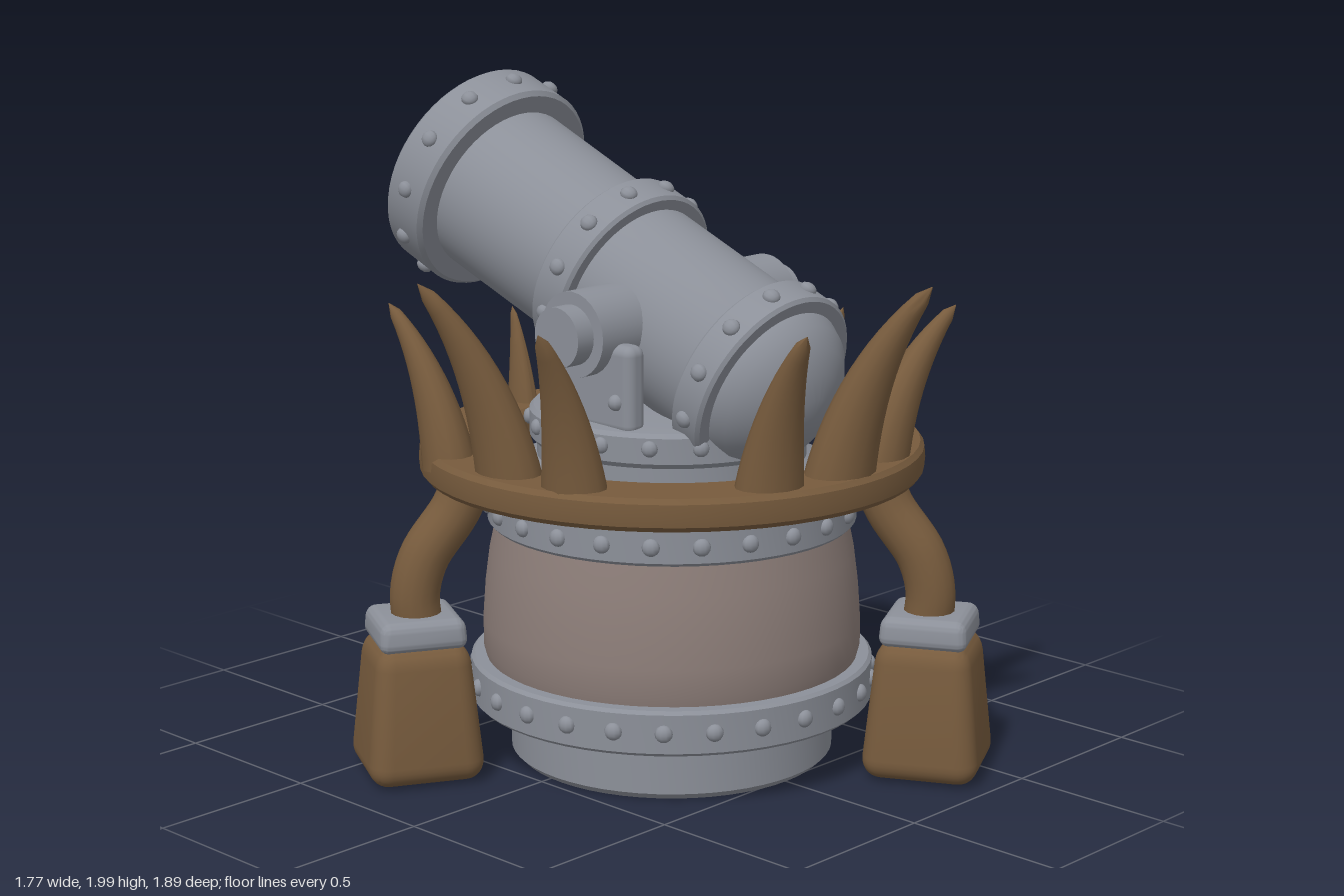
import * as THREE from 'three';
import { mergeGeometries, toCreasedNormals } from 'three/addons/utils/BufferGeometryUtils.js';
import { RoundedBoxGeometry } from 'three/addons/geometries/RoundedBoxGeometry.js';

const material = (name, color) => {
  const m = new THREE.MeshStandardMaterial({ color });
  m.name = name;
  return m;
};

export function createModel() {
  const iron = material('iron grey', 0x8c9099);
  const wood = material('horn brown', 0x775b3d);
  const stave = material('barrel brown', 0x8d7e79);

  const model = new THREE.Group();
  model.name = 'cannonTower';
  const CZ = 0.05; // the tower axis sits slightly forward of centre

  const add = (parent, name, geometry, mat, x = 0, y = 0, z = 0) => {
    const mesh = new THREE.Mesh(geometry, mat);
    mesh.name = name;
    mesh.position.set(x, y, z);
    parent.add(mesh);
    return mesh;
  };

  // Turned part from [radius, height] points, listed upwards on the outside
  const turned = (parent, name, points, mat) => {
    const profile = points.map(([r, y]) => new THREE.Vector2(r, y));
    return add(parent, name, toCreasedNormals(new THREE.LatheGeometry(profile, 56), 0.55), mat);
  };

  // Closed hoop with small bevels
  const hoop = (parent, name, inner, outer, y0, y1, mat, b = 0.01) => turned(parent, name, [
    [inner, y0], [outer - b, y0], [outer, y0 + b], [outer, y1 - b], [outer - b, y1], [inner, y1], [inner, y0],
  ], mat);

  // Circle of domed rivets
  const rivets = (parent, name, radius, y, count, offset = 0.5, size = 0.026) => {
    const parts = [];
    for (let i = 0; i < count; i++) {
      const a = (i + offset) / count * Math.PI * 2;
      const g = new THREE.SphereGeometry(size, 10, 8);
      g.scale(1, 1, 0.75);
      g.rotateY(a);
      g.translate(Math.sin(a) * radius, y, Math.cos(a) * radius);
      parts.push(g);
    }
    add(parent, name, mergeGeometries(parts), iron);
  };

  // --- Tower body ---
  const tower = new THREE.Group();
  tower.name = 'tower';
  tower.position.z = CZ;
  model.add(tower);
  turned(tower, 'base', [[0, 0], [0.465, 0], [0.485, 0.02], [0.485, 0.19]], iron);
  turned(tower, 'barrelStaves', [
    [0.55, 0.28], [0.566, 0.34], [0.566, 0.42], [0.558, 0.53], [0.545, 0.63], [0.522, 0.74],
  ], stave);
  hoop(tower, 'lowerBand', 0.4, 0.603, 0.175, 0.31, iron);
  rivets(tower, 'lowerBandRivets', 0.603, 0.245, 26);
  hoop(tower, 'upperBand', 0.4, 0.55, 0.72, 0.835, iron);
  rivets(tower, 'upperBandRivets', 0.55, 0.777, 24);
  turned(tower, 'towerTop', [
    [0.525, 0.82], [0.51, 0.86], [0.49, 0.88], [0.43, 0.9], [0.4, 0.92], [0.4, 0.99],
  ], iron);
  turned(tower, 'turntable', [
    [0, 0.97], [0.41, 0.97], [0.422, 0.985], [0.422, 1.06], [0.41, 1.072], [0.35, 1.08], [0, 1.085],
  ], iron);
  rivets(tower, 'turntableRivets', 0.422, 1.03, 18, 0.25, 0.024);
  turned(tower, 'collarRing', [
    [0.565, 0.875], [0.735, 0.875], [0.747, 0.89], [0.75, 0.922], [0.747, 0.955], [0.735, 0.97],
    [0.565, 0.97], [0.55, 0.955], [0.55, 0.89], [0.565, 0.875],
  ], wood);

  // --- Cannon, local +y runs along the bore towards the muzzle face at y = 0 ---
  const cannon = new THREE.Group();
  cannon.name = 'cannon';
  cannon.position.set(0, 1.685, -0.815);
  cannon.rotation.x = -1.186;
  model.add(cannon);
  turned(cannon, 'cannonBarrel', [
    [0, -1.53], [0.06, -1.524], [0.13, -1.5], [0.19, -1.463], [0.235, -1.415], [0.258, -1.36],
    [0.26, -0.7], [0.268, -0.1],
  ], iron);
  turned(cannon, 'muzzle', [
    [0.25, -0.165], [0.322, -0.165], [0.335, -0.152], [0.335, -0.012], [0.325, 0],
    [0.212, 0], [0.205, -0.012], [0.205, -0.38], [0, -0.38],
  ], iron);
  rivets(cannon, 'muzzleRivets', 0.335, -0.08, 12, 0);
  hoop(cannon, 'middleBand', 0.24, 0.302, -0.77, -0.645, iron);
  rivets(cannon, 'middleBandRivets', 0.302, -0.707, 12);
  hoop(cannon, 'breechBand', 0.24, 0.3, -1.37, -1.255, iron);
  rivets(cannon, 'breechBandRivets', 0.3, -1.312, 12);

  // --- Trunnions and their brackets ---
  for (const s of [-1, 1]) {
    const side = s > 0 ? 'left' : 'right';
    const drum = (name, r, x0, x1) => {
      const mesh = add(model, side + name, new THREE.CylinderGeometry(r, r, x1 - x0, 28), iron, s * (x0 + x1) / 2, 1.335, CZ);
      mesh.rotation.z = Math.PI / 2;
    };
    drum('TrunnionDrum', 0.125, 0.2, 0.412);
    drum('TrunnionPin', 0.088, 0.4, 0.474);
    add(model, side + 'Bracket', new RoundedBoxGeometry(0.075, 0.26, 0.36, 3, 0.03), iron, s * 0.33, 1.185, 0.054);
    for (const z of [0.18, -0.065]) {
      add(model, side + 'BracketRivet', new THREE.SphereGeometry(0.024, 10, 8), iron, s * 0.366, 1.15, z);
    }
  }

  // --- Curved horns on the collar: base x, z, tip x, y, z, half width ---
  const horns = [
    [-0.60, -0.27, -0.65, 1.39, -0.465, 0.1],
    [-0.63, 0.02, -0.86, 1.525, -0.10, 0.11],
    [-0.62, 0.27, -0.795, 1.43, 0.31, 0.1],
    [-0.24, 0.65, -0.29, 1.425, 0.83, 0.105],
    [0.01, 0.69, 0.13, 1.515, 0.92, 0.118],
    [0.24, 0.65, 0.49, 1.385, 0.72, 0.105],
    [0.63, 0.1, 0.71, 1.26, 0.105, 0.07],
    [0.47, -0.42, 0.475, 1.245, -0.43, 0.06],
    [0, -0.59, 0.01, 1.26, -0.645, 0.06],
  ];
  horns.forEach(([bx, bz, tx, ty, tz, r], i) => {
    const base = new THREE.Vector3(bx, 0.93, bz);
    const tip = new THREE.Vector3(tx, ty, tz);
    const bend = base.clone().lerp(tip, 0.22).setY(0.93 + (ty - 0.93) * 0.6);
    const curve = new THREE.QuadraticBezierCurve3(base, bend, tip);
    const steps = 14, sides = 14;
    const g = new THREE.TubeGeometry(curve, steps, r, sides);
    // Taper to a blunt point and flatten: big horns front to back, small ones sideways
    const thin = new THREE.Vector3(bx, 0, bz - CZ).normalize();
    if (i > 5) thin.set(-thin.z, 0, thin.x);
    const squash = i > 5 ? 0.6 : 0.78;
    const pos = g.attributes.position, v = new THREE.Vector3();
    for (let k = 0; k < pos.count; k++) {
      const t = Math.floor(k / (sides + 1)) / steps;
      const centre = curve.getPointAt(t);
      v.fromBufferAttribute(pos, k).sub(centre).multiplyScalar(t === 1 ? 0.01 : 1 - 0.86 * Math.pow(t, 1.25));
      v.addScaledVector(thin, (squash - 1) * v.dot(thin)).add(centre);
      pos.setXYZ(k, v.x, v.y, v.z);
    }
    add(model, 'horn' + (i + 1), toCreasedNormals(g, 1), wood);
  });

  // --- Legs with cuffs and heavy feet: foot x, z ---
  const taperBox = (w, h, round, top) => {
    const g = new RoundedBoxGeometry(w, h, w, 4, round);
    const pos = g.attributes.position;
    for (let k = 0; k < pos.count; k++) {
      const f = 1 + (top - 1) * (pos.getY(k) / h + 0.5);
      pos.setX(k, pos.getX(k) * f);
      pos.setZ(k, pos.getZ(k) * f);
    }
    return toCreasedNormals(g, 0.9);
  };
  for (const [fx, fz] of [[0.655, -0.6], [-0.69, -0.33], [0.37, 0.745]]) {
    const leg = new THREE.Group();
    leg.name = 'leg';
    leg.position.z = CZ;
    leg.rotation.y = Math.atan2(fx, fz - CZ);
    model.add(leg);
    const d = Math.hypot(fx, fz - CZ); // local +z points outwards
    const path = new THREE.CatmullRomCurve3([[0.61, 0.92], [0.66 + (d - 0.79) * 0.4, 0.8], [d - 0.03, 0.66], [d, 0.55], [d - 0.01, 0.44]]
      .map(([z, y]) => new THREE.Vector3(0, y, z)));
    add(leg, 'limb', new THREE.TubeGeometry(path, 20, 0.074, 16), wood);
    add(leg, 'cuff', taperBox(0.265, 0.09, 0.03, 0.94), iron, 0, 0.45, d);
    add(leg, 'foot', taperBox(0.355, 0.415, 0.065, 0.77), wood, 0, 0.2125, d);
  }

  return model;
}
